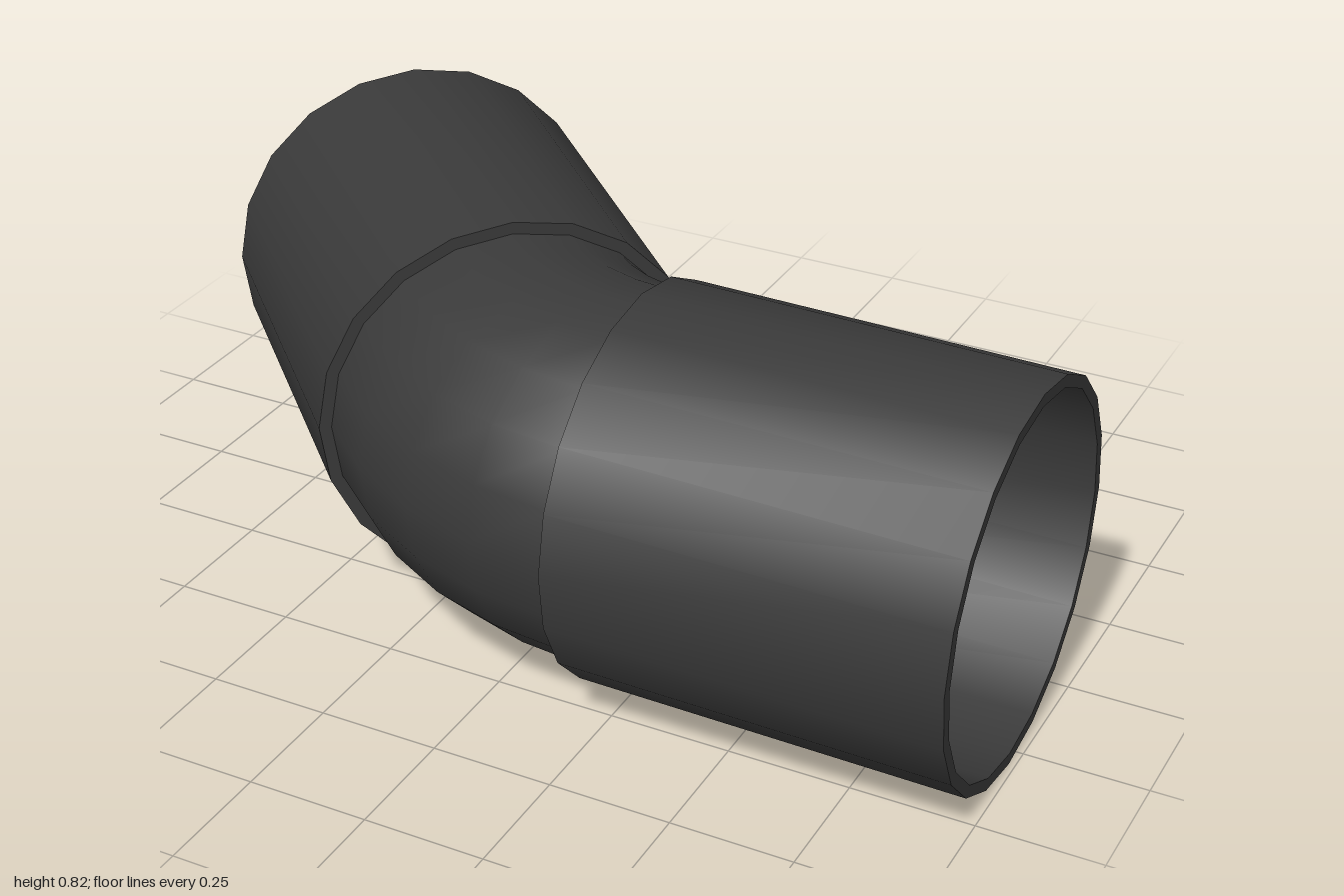
import * as THREE from 'three';
import { toCreasedNormals } from 'three/addons/utils/BufferGeometryUtils.js';

const SIDES = 20;
const BEND_RADIUS = 0.507;
const OUTER = 0.4, WALL = 0.375, BORE = 0.355;
const LENGTH = 0.793;

export function createModel() {
  const group = new THREE.Group();
  group.name = 'pipeElbow';
  const material = new THREE.MeshStandardMaterial({ color: 0x3a3a3a, side: THREE.DoubleSide });

  // Everything lies in one plane with a very slight sideways lean
  const elbow = new THREE.Group();
  elbow.name = 'elbow';
  elbow.position.y = 0.416;
  elbow.rotation.z = -0.0145;
  group.add(elbow);

  // Socket sleeve: hollow, with an inner stop ring where it meets the bend
  const profile = [
    [BORE, 0], [OUTER, 0], [OUTER, LENGTH], [WALL, LENGTH], [WALL, 0.015], [BORE, 0.015], [BORE, 0],
  ].map(([r, y]) => new THREE.Vector2(r, y));
  const sleeveGeometry = toCreasedNormals(
    new THREE.LatheGeometry(profile, SIDES).rotateZ(-Math.PI / 2), 0.7);

  function addSleeve(name, x, z, angle) {
    const sleeve = new THREE.Mesh(sleeveGeometry, material);
    sleeve.name = name;
    sleeve.position.set(x, 0, z);
    sleeve.rotation.y = angle;
    elbow.add(sleeve);
  }
  addSleeve('leftSleeve', 0.2, 0.293, 0);
  addSleeve('rightSleeve', -0.158, 0.145, Math.PI * 0.75);

  // 45 degree bend: outer skin and inner bore
  function addBend(name, radius) {
    const geometry = new THREE.TorusGeometry(BEND_RADIUS, radius, SIDES, 4, Math.PI / 4)
      .rotateX(Math.PI / 2).rotateY(-Math.PI / 2);
    const bend = new THREE.Mesh(geometry, material);
    bend.name = name;
    bend.position.set(0.2, 0, 0.293 - BEND_RADIUS);
    elbow.add(bend);
  }
  addBend('bendOuter', WALL);
  addBend('bendBore', BORE);

  return group;
}
